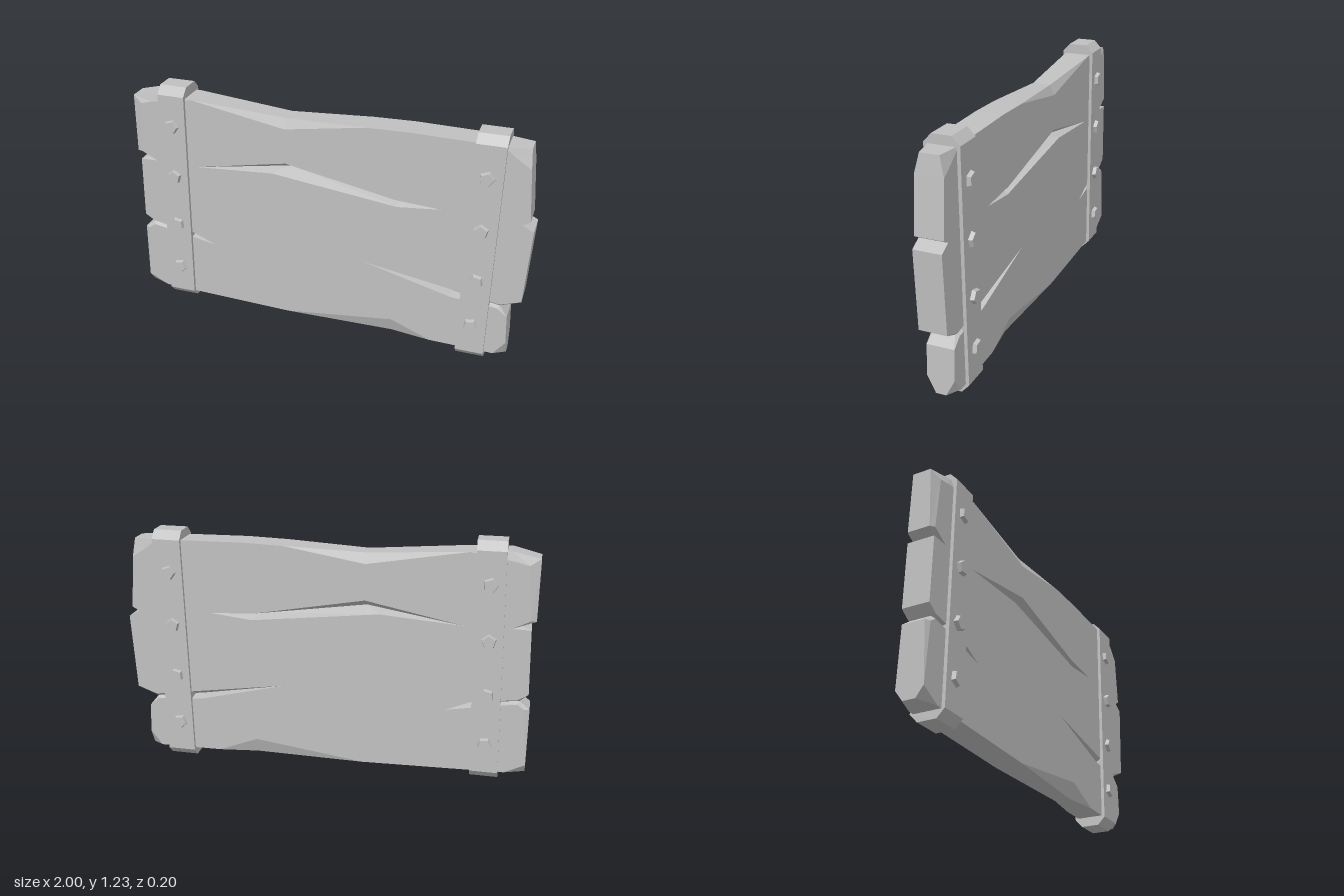
import * as THREE from 'three';

const HALF = 0.067; // half thickness of the board

// Each point: outer x, y, [half depth of the bevel, face x, face y]
const outline = [
  [-1, 0.08, 0.03, -0.95, 0.105], [-0.9, 0.08], [-0.2, 0.06],
  [0.35, 0.05, 0.04, 0.35, 0.13], [0.55, 0.05], [0.87, 0.045],
  [0.93, 0.04, 0.025, 0.9, 0.085], [0.927, 0.12], [0.92, 0.27],
  // long crack on the +x side
  [0.88, 0.32, 0.05, 0.87, 0.31], [0.64, 0.335, 0, 0.64, 0.328], [0.2, 0.44],
  [0.64, 0.335, 0, 0.62, 0.375], [0.88, 0.32, 0.05, 0.88, 0.335],
  [0.98, 0.37], [1, 0.75], [0.945, 0.78], [0.98, 0.8], [0.959, 1.06],
  [0.95, 1.15, 0.045, 0.89, 1.105], [0.83, 1.153], [0.4, 1.16], [0.2, 1.155],
  [-0.2, 1.14, 0.045, -0.2, 1.09], [-0.68, 1.175],
  [-0.87, 1.185, 0.055, -0.89, 1.14], [-1, 1.155, 0.045, -0.95, 1.125],
  [-1, 0.86, 0.055, -0.975, 0.865], [-0.93, 0.83, 0.03, -0.89, 0.822], [-0.98, 0.82],
  // short crack on the -x side
  [-0.99, 0.5], [-0.95, 0.458, 0.05, -0.94, 0.468], [-0.72, 0.42, 0, -0.72, 0.437],
  [-0.6, 0.385], [-0.72, 0.42, 0, -0.72, 0.408], [-0.95, 0.458, 0.05, -0.94, 0.445],
  [-1, 0.42, 0.055, -0.975, 0.42], [-1, 0.13],
];

// Split in the middle: a V-shaped valley on both faces
const gash = [
  [-0.67, 0.82], [-0.2, 0.872, 0, -0.2, 0.912], [0.33, 0.795, 0, 0.35, 0.808],
  [0.57, 0.795], [0.33, 0.795, 0, 0.36, 0.773], [-0.2, 0.872, 0, -0.27, 0.848],
];

function boardGeometry() {
  const positions = [];
  const tri = (...pts) => pts.forEach((p) => positions.push(...p));
  const quad = (a, b, c, d) => { tri(a, b, c); tri(a, c, d); };
  const rings = [outline, gash].map((ring) =>
    ring.map(([x, y, d = HALF, fx = x, fy = y]) => ({ x, y, d, fx, fy })));

  // Front and back faces
  const [contour, hole] = rings.map((r) => r.map((p) => new THREE.Vector2(p.fx, p.fy)));
  const flat = [...contour, ...hole];
  for (const face of THREE.ShapeUtils.triangulateShape(contour, [hole])) {
    const [a, b, c] = face.map((i) => flat[i]);
    tri([a.x, a.y, HALF], [b.x, b.y, HALF], [c.x, c.y, HALF]);
    tri([a.x, a.y, -HALF], [c.x, c.y, -HALF], [b.x, b.y, -HALF]);
  }

  // Bevel, edge wall and bevel around each ring
  for (const ring of rings) {
    const section = (p) => [
      [p.fx, p.fy, HALF], [p.x, p.y, p.d], [p.x, p.y, -p.d], [p.fx, p.fy, -HALF],
    ];
    ring.forEach((p, i) => {
      const a = section(p);
      const b = section(ring[(i + 1) % ring.length]);
      for (let k = 0; k < 3; k++) quad(a[k], a[k + 1], b[k + 1], b[k]);
    });
  }
  const geometry = new THREE.BufferGeometry();
  geometry.setAttribute('position', new THREE.Float32BufferAttribute(positions, 3));
  geometry.computeVertexNormals();
  return geometry;
}

// Band with chamfered ends that leans as it rises
function strapGeometry(bottomX, topX, bottom, top, width) {
  const z = 0.083, end = 0.046, cut = 0.04;
  const shape = new THREE.Shape([
    [-end, bottom], [end, bottom], [z, bottom + cut], [z, top - cut],
    [end, top], [-end, top], [-z, top - cut], [-z, bottom + cut],
  ].map(([u, v]) => new THREE.Vector2(u, v)));
  const geometry = new THREE.ExtrudeGeometry(shape, { depth: width, bevelEnabled: false });
  geometry.translate(0, 0, -width / 2).rotateY(Math.PI / 2);
  const pos = geometry.attributes.position;
  for (let i = 0; i < pos.count; i++) {
    const t = (pos.getY(i) - bottom) / (top - bottom);
    pos.setX(i, pos.getX(i) + THREE.MathUtils.lerp(bottomX, topX, t));
  }
  geometry.computeVertexNormals();
  return geometry;
}

// Five-sided bolt head pointing along +z
function boltGeometry() {
  const geometry = new THREE.CylinderGeometry(0.032, 0.039, 0.024, 5).toNonIndexed();
  geometry.rotateX(Math.PI / 2);
  geometry.computeVertexNormals();
  return geometry;
}

export function createModel() {
  const model = new THREE.Group();
  model.name = 'plankSign';
  const grey = new THREE.MeshStandardMaterial({ color: 0xc0c0c0 });
  grey.name = 'plain grey';

  const add = (name, geometry) => {
    const mesh = new THREE.Mesh(geometry, grey);
    mesh.name = name;
    model.add(mesh);
    return mesh;
  };

  add('board', boardGeometry());
  add('rightStrap', strapGeometry(-0.803, -0.778, 0.04, 1.228, 0.137));
  add('leftStrap', strapGeometry(0.754, 0.778, 0, 1.197, 0.14));

  // Bolt heads on both faces of each strap
  const bolt = boltGeometry();
  const rows = {
    rightBolt: [[-0.783, 1.03], [-0.79, 0.757], [-0.795, 0.485], [-0.8, 0.23]],
    leftBolt: [[0.77, 0.995], [0.765, 0.725], [0.76, 0.455], [0.753, 0.2]],
  };
  for (const [name, spots] of Object.entries(rows)) {
    spots.forEach(([x, y], i) => {
      for (const side of [1, -1]) {
        const head = add(name, bolt);
        head.position.set(x, y, side * 0.09);
        head.rotation.set(0, side > 0 ? 0 : Math.PI, 1.6 + i * 0.35);
      }
    });
  }
  return model;
}
